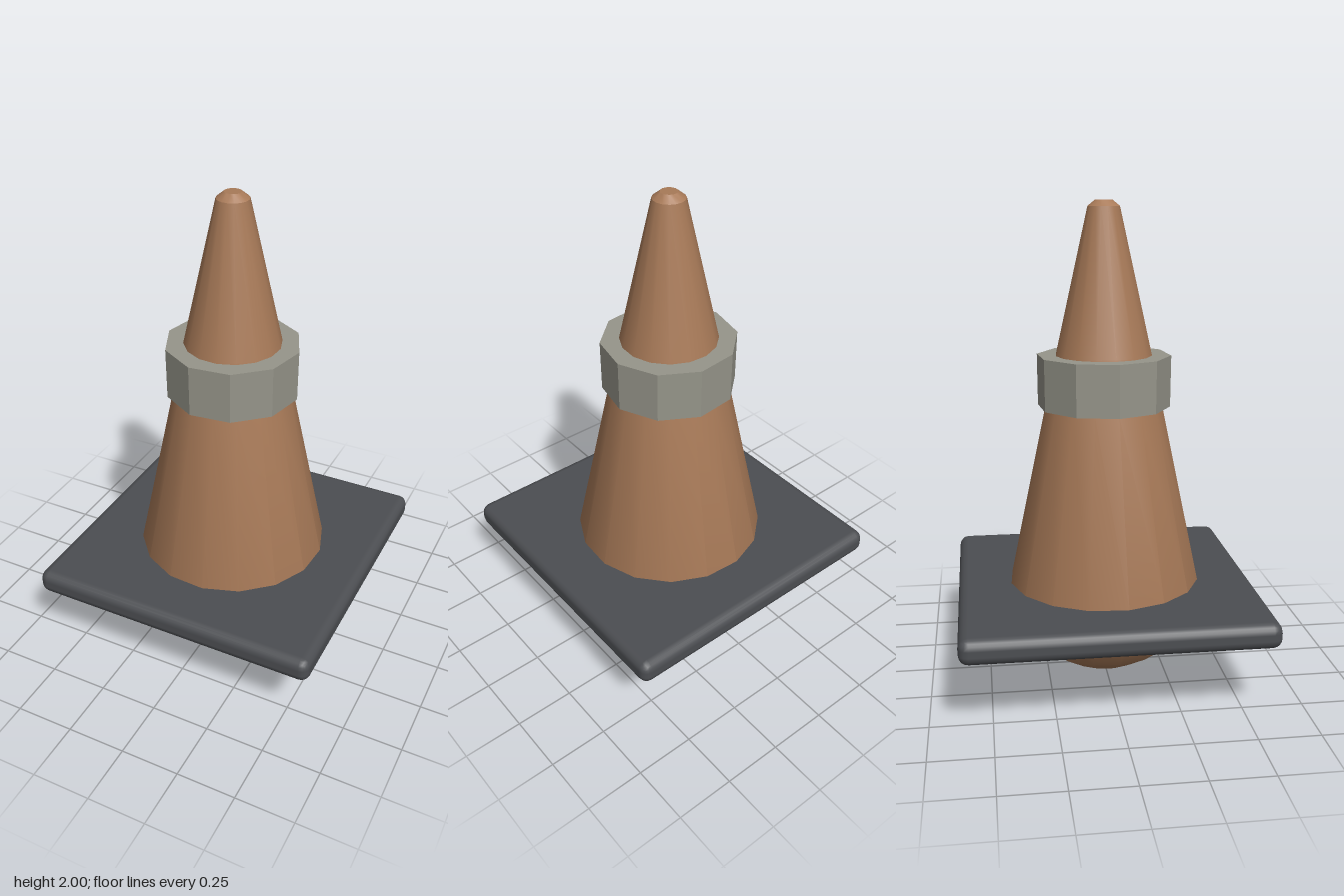
import * as THREE from 'three';
import { toCreasedNormals } from 'three/addons/utils/BufferGeometryUtils.js';
import { RoundedBoxGeometry } from 'three/addons/geometries/RoundedBoxGeometry.js';

const mat = (color) => new THREE.MeshStandardMaterial({ color });

// Faceted solid of revolution from [radius, height] pairs
function turned(name, profile, sides, start, crease, material) {
  const points = profile.map(([r, y]) => new THREE.Vector2(r, y));
  const lathe = new THREE.LatheGeometry(points, sides, start);
  const mesh = new THREE.Mesh(toCreasedNormals(lathe, crease), material);
  mesh.name = name;
  return mesh;
}

export function createModel() {
  const model = new THREE.Group();
  model.name = 'trafficCone';

  // Tapering cone with a rounded underside and a small blunt tip
  model.add(turned('coneBody', [
    [0, 0], [0.07, 0.005], [0.17, 0.04], [0.285, 0.11], [0.375, 0.25],
    [0.398, 0.32], [0.408, 0.4], [0.247, 1.16], [0.2, 1.38],
    [0.066, 1.975], [0.035, 2], [0, 2],
  ], 16, 0.13, 0.5, mat(0xa87a58)));

  // Ten-sided collar around the cone
  model.add(turned('collar', [
    [0.235, 1.16], [0.278, 1.16], [0.28, 1.375], [0.195, 1.375], [0.235, 1.16],
  ], 10, THREE.MathUtils.degToRad(24), 0.4, mat(0x96958a)));

  // Square plate with softened edges
  const plate = new THREE.Mesh(new RoundedBoxGeometry(1.255, 0.105, 1.255, 2, 0.04), mat(0x4c4e52));
  plate.name = 'basePlate';
  plate.position.y = 0.353;
  model.add(plate);

  return model;
}
